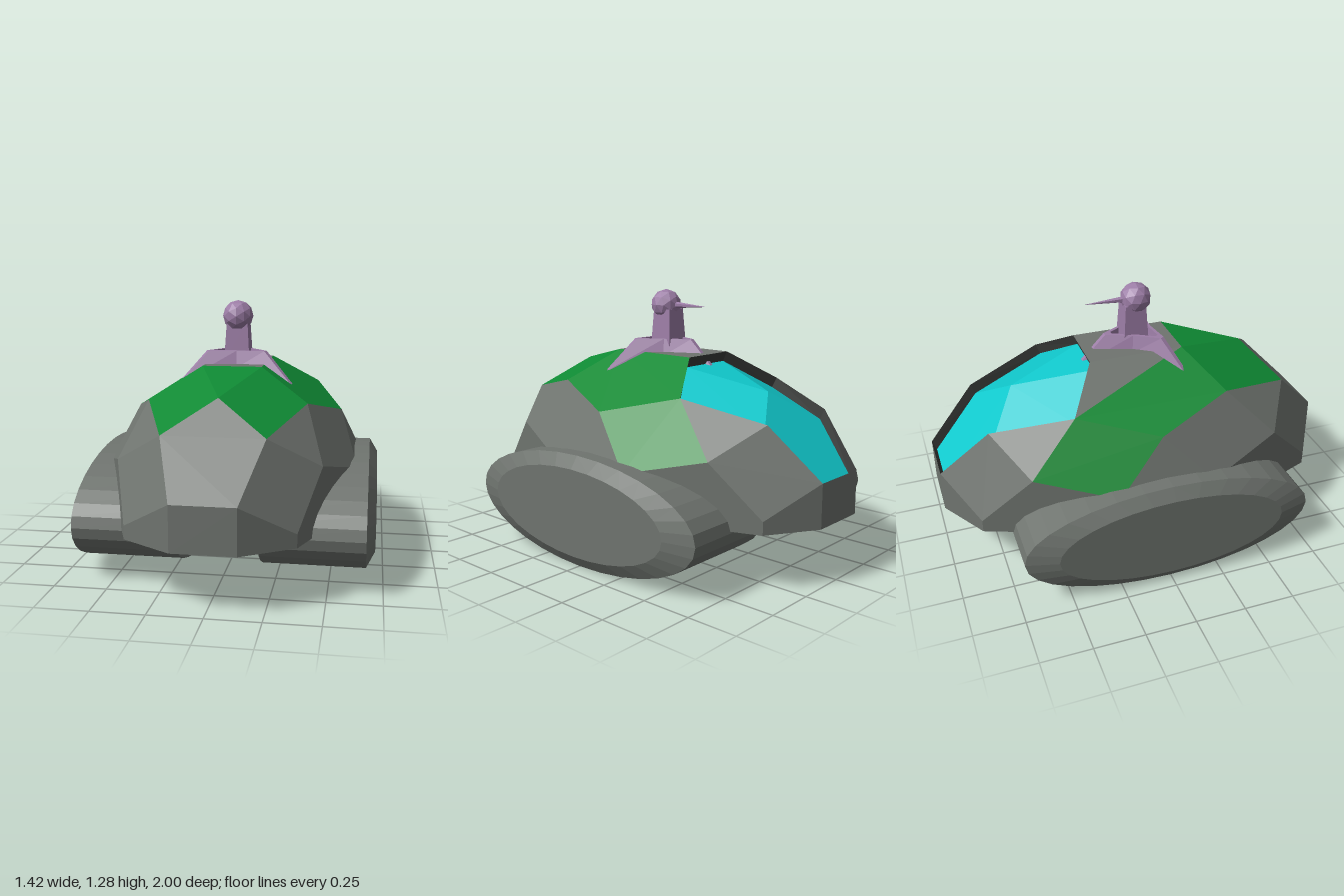
import * as THREE from 'three';

const P = (1 + Math.sqrt(5)) / 2, P2 = P * P, P3 = P2 * P, D = 2 * P, E = 2 + P;
const BASE = -0.42; // floor level in hull units
// hull units (rhombicosidodecahedron) to model space
const V = (x, y, z) => new THREE.Vector3(x * 0.145, 0.342 + y * 0.148, z * 0.236);
const CORE = new THREE.Vector3(0, 0.3, 0);

const mat = (color) => new THREE.MeshStandardMaterial({ color, flatShading: true, side: THREE.DoubleSide });

// flat polygons, fan triangulated; turned to face away from the core if asked
function polygons(faces, outward = true) {
  const out = [];
  for (const face of faces) {
    let f = face;
    if (outward) {
      const n = f[1].clone().sub(f[0]).cross(f[2].clone().sub(f[0]));
      if (n.dot(f[0].clone().sub(CORE)) < 0) f = [...f].reverse();
    }
    for (let i = 1; i < f.length - 1; i++)
      for (const p of [f[0], f[i], f[i + 1]]) out.push(p.x, p.y, p.z);
  }
  const g = new THREE.BufferGeometry();
  g.setAttribute('position', new THREE.Float32BufferAttribute(out, 3));
  g.computeVertexNormals();
  return g;
}

// closed loops of equal length joined by quads
function skin(rings) {
  const faces = [];
  for (let r = 0; r < rings.length - 1; r++) {
    const a = rings[r], b = rings[r + 1], n = a.length;
    for (let i = 0; i < n; i++) {
      const j = (i + 1) % n;
      faces.push([a[i], a[j], b[j]], [a[i], b[j], b[i]]);
    }
  }
  return polygons(faces, false);
}

function add(parent, name, geometry, material) {
  const m = new THREE.Mesh(geometry, material);
  m.name = name;
  parent.add(m);
  return m;
}

export function createModel() {
  const model = new THREE.Group();
  const grey = mat(0x6f746f), green = mat(0x0f8a34), cyan = mat(0x10c8cc), purple = mat(0x9c7da6);

  // faceted hull, sorted into plain, painted and window faces
  const plain = [], painted = [], glass = [];
  plain.push([V(-1, P3, -1), V(1, P3, -1), V(1, P3, 1), V(-1, P3, 1)]);
  const floor = [];
  for (const s of [1, -1]) {
    // end faces: s is front or back
    const nose = s > 0 ? plain : glass, brow = s > 0 ? painted : glass;
    brow.push([V(-1, P3, s), V(1, P3, s), V(0, E, s * P2)]);
    nose.push([V(0, E, s * P2), V(P, P2, s * D), V(1, 1, s * P3), V(-1, 1, s * P3), V(-P, P2, s * D)]);
    plain.push([V(1, 1, s * P3), V(-1, 1, s * P3), V(-1, BASE, s * P3), V(1, BASE, s * P3)]);
    // side faces: s is left or right
    plain.push([V(s * E, P2, 0), V(s * P3, 1, 1), V(s * P3, 1, -1)]);
    plain.push([V(s * P3, 1, 1), V(s * P3, 1, -1), V(s * P3, BASE, -1), V(s * P3, BASE, 1)]);
    const shoulder = [V(s, P3, 1), V(s * P2, D, P), V(s * E, P2, 0), V(s * P2, D, -P)];
    const wedge = [V(s, P3, 1), V(s * P2, D, -P), V(s, P3, -1)];
    painted.push(shoulder);
    (s > 0 ? painted : plain).push(wedge);
    // corner faces
    for (const z of [1, -1]) {
      const C = (x, y, w) => V(s * x, y, z * w);
      (z > 0 ? painted : glass).push([C(1, P3, 1), C(P2, D, P), C(P, P2, D), C(0, E, P2)]);
      (z > 0 ? plain : painted).push([C(P2, D, P), C(E, P2, 0), C(P3, 1, 1), C(D, P, P2)]);
      plain.push([C(P2, D, P), C(P, P2, D), C(D, P, P2)]);
      plain.push([C(P, P2, D), C(1, 1, P3), C(P2, 0, E), C(D, P, P2)]);
      plain.push([C(P2, 0, E), C(D, P, P2), C(P3, 1, 1), C(P3, BASE, 1), C(P2, BASE, E)]);
      plain.push([C(1, 1, P3), C(P2, 0, E), C(P2, BASE, E), C(1, BASE, P3)]);
      floor.push(C(1, BASE, P3), C(P2, BASE, E), C(P3, BASE, 1));
    }
  }
  floor.sort((a, b) => Math.atan2(a.x, a.z) - Math.atan2(b.x, b.z));
  plain.push(floor);
  add(model, 'hull', polygons(plain), grey);
  add(model, 'paintedPanels', polygons(painted), green);

  // rear window, sunk into the hull behind a rim
  const sink = (p) => new THREE.Vector3(p.x * 0.97, p.y - 0.05, p.z + 0.02);
  add(model, 'rearWindow', polygons(glass.map((f) => f.map(sink))), cyan);
  const half = [[1, P3, 1], [P2, D, P], [P, P2, D], [1, 1, P3]];
  const edge = [
    ...half.map(([x, y, z]) => V(x, y, -z)),
    ...[...half].reverse().map(([x, y, z]) => V(-x, y, -z)),
  ];
  add(model, 'windowRim', skin([edge.map(sink), edge]), mat(0x3a3c3a));

  // oval side pods with a bevelled outer edge
  const profile = [[0, 0.19], [1, 0.19], [1, 0.67], [0.785, 0.71], [0, 0.71]];
  const pod = new THREE.LatheGeometry(profile.map(([r, h]) => new THREE.Vector2(r, h)), 32);
  pod.rotateZ(-Math.PI / 2).scale(1, 0.272, 0.72);
  ['leftPod', 'rightPod'].forEach((name, i) => {
    const m = add(model, name, pod, grey);
    m.position.y = 0.272;
    m.rotation.y = i * Math.PI;
  });

  // turret: three-legged foot with a recessed top
  const turret = new THREE.Group();
  turret.name = 'turret';
  turret.position.set(0, 0, 0.045);
  model.add(turret);
  const star = (tipR, tipY, notchR, notchY, w) => {
    const pts = [];
    for (let k = 0; k < 3; k++) {
      const a = Math.PI + 0.06 + (k * Math.PI * 2) / 3;
      const at = (r, t, y) => new THREE.Vector3(r * Math.sin(t), y, r * Math.cos(t));
      pts.push(at(tipR, a - w, tipY), at(tipR, a + w, tipY), at(notchR, a + Math.PI / 3, notchY));
    }
    return pts;
  };
  add(turret, 'turretFoot', skin([
    star(0, 0.94, 0, 0.94, 0),
    star(0.32, 0.88, 0.105, 0.95, 0.03),
    star(0.165, 1.033, 0.08, 1.033, 0.07),
    star(0.13, 1.033, 0.066, 1.033, 0.07),
    star(0.12, 0.99, 0.062, 0.99, 0.07),
    star(0, 0.99, 0, 0.99, 0),
  ]), purple);

  // neck, faceted head and thin barrel pointing back
  const neck = add(turret, 'neck', new THREE.CylinderGeometry(0.073, 0.09, 0.2, 4, 1, false, Math.PI / 4), purple);
  neck.position.set(0, 1.08, -0.015);
  const head = add(turret, 'head', new THREE.IcosahedronGeometry(0.077, 1), purple);
  head.position.y = 1.2;
  const barrel = add(turret, 'barrel', new THREE.ConeGeometry(0.017, 0.21, 6), purple);
  barrel.rotation.x = -Math.PI / 2;
  barrel.position.set(0, 1.2, -0.16);

  return model;
}
